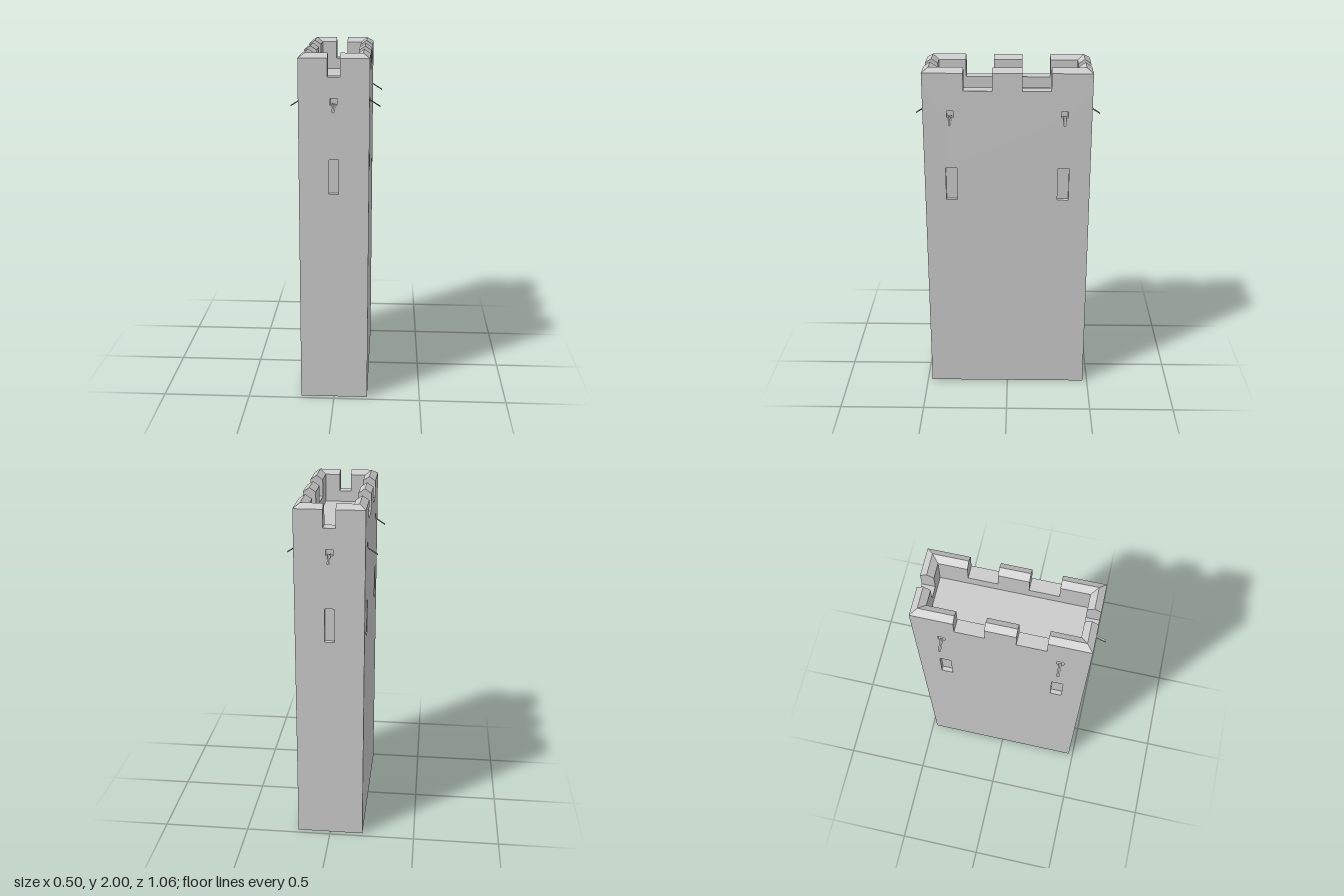
import * as THREE from 'three';

const HX = 0.193, HZ = 0.473;              // half width and half depth of the tower
const T = 0.073, SILL = 1.875, EAVE = 1.975, TOP = 2, FLOOR = 1.81;
const mat = new THREE.MeshStandardMaterial({ color: 0xcccccc, side: THREE.DoubleSide, flatShading: true });

function part(name, geometry, parent) {
  const mesh = new THREE.Mesh(geometry, mat);
  mesh.name = name;
  parent.add(mesh);
  return mesh;
}

// Outer wall sheet with rectangular openings [u, y, w, h]
function wallSheet(half, openings) {
  const rect = (s, x0, y0, x1, y1) => {
    s.moveTo(x0, y0); s.lineTo(x1, y0); s.lineTo(x1, y1); s.lineTo(x0, y1); s.closePath();
    return s;
  };
  const shape = rect(new THREE.Shape(), -half, 0, half, SILL);
  for (const [u, y, w, h] of openings) {
    shape.holes.push(rect(new THREE.Path(), u - w / 2, y - h / 2, u + w / 2, y + h / 2));
  }
  return new THREE.ShapeGeometry(shape);
}

// Length of parapet swept along u; ends lying on a tower corner are mitred
function parapetPiece(a, b, half, merlon) {
  const profile = merlon
    ? [[0, SILL], [0, EAVE], [T / 2, TOP], [T, EAVE], [T, SILL], [T, FLOOR]]
    : [[0, SILL], [T, SILL], [T, FLOOR]];
  const at = (u, [t, y]) => {
    const mitre = Math.abs(u) === half ? Math.sign(u) * t : 0;
    return [u - mitre, y, -t];
  };
  const pos = [];
  const tri = (...pts) => pts.forEach(p => pos.push(...p));
  for (let i = 0; i < profile.length - 1; i++) {
    const p = profile[i], q = profile[i + 1];
    tri(at(a, p), at(b, p), at(b, q));
    tri(at(a, p), at(b, q), at(a, q));
  }
  if (merlon) {
    for (let i = 1; i < 4; i++) {
      const [o, p, q] = [profile[0], profile[i], profile[i + 1]];
      if (a !== -half) tri(at(a, o), at(a, p), at(a, q));
      if (b !== half) tri(at(b, o), at(b, q), at(b, p));
    }
  }
  const geo = new THREE.BufferGeometry();
  geo.setAttribute('position', new THREE.Float32BufferAttribute(pos, 3));
  geo.computeVertexNormals();
  return geo;
}

// Box without its outer face, sunk into the wall
function recess(u, y, w, h, depth) {
  const geo = new THREE.BoxGeometry(w, h, depth);
  geo.setIndex([...geo.index.array].filter((_, i) => i < 24 || i >= 30));
  geo.clearGroups();
  // turn the faces inward
  const idx = geo.index.array;
  for (let i = 0; i < idx.length; i += 3) [idx[i], idx[i + 1]] = [idx[i + 1], idx[i]];
  const n = geo.attributes.normal;
  for (let i = 0; i < n.count; i++) n.setXYZ(i, -n.getX(i), -n.getY(i), -n.getZ(i));
  return geo.translate(u, y, -depth / 2);
}

// Thin V-shaped gutter sloping down and away from the wall
function spout(u) {
  const w = 0.008, d = 0.007, pos = [];
  const ring = (y, z) => [[u - w, y + d, z], [u, y, z], [u + w, y + d, z]];
  const A = ring(1.729, -0.004), B = ring(1.69, 0.057);
  for (let i = 0; i < 2; i++) {
    for (const p of [A[i], B[i], B[i + 1], A[i], B[i + 1], A[i + 1]]) pos.push(...p);
  }
  const geo = new THREE.BufferGeometry();
  geo.setAttribute('position', new THREE.Float32BufferAttribute(pos, 3));
  geo.computeVertexNormals();
  return geo;
}

function buildWall(name, half, cuts, columns, windowWidth) {
  const wall = new THREE.Group();
  wall.name = name;
  const windows = columns.map(u => [u, 1.327, windowWidth, 0.195]);
  const drains = columns.map(u => [u, 1.742, 0.038, 0.036]);
  part('wallFace', wallSheet(half, [...windows, ...drains]), wall);
  for (const o of windows) part('windowRecess', recess(...o, 0.025), wall);
  for (const o of drains) part('drainHole', recess(...o, 0.025), wall);
  for (const u of columns) part('drainSpout', spout(u), wall);

  // alternate merlons and crenel gaps along the top
  const stops = [-half, ...cuts, half];
  for (let i = 0; i < stops.length - 1; i++) {
    const merlon = i % 2 === 0;
    part(merlon ? 'merlon' : 'crenelSill', parapetPiece(stops[i], stops[i + 1], half, merlon), wall);
  }
  return wall;
}

export function createModel() {
  const tower = new THREE.Group();
  tower.name = 'tower';
  const names = ['frontWall', 'leftWall', 'backWall', 'rightWall'];
  names.forEach((name, k) => {
    const side = k % 2 === 1;
    const wall = side
      ? buildWall(name, HZ, [-0.244, -0.083, 0.083, 0.244], [-0.32, 0.32], 0.064)
      : buildWall(name, HX, [-0.034, 0.034], [0], 0.054);
    // push each wall outward, then turn it to its side
    wall.rotation.y = k * Math.PI / 2;
    wall.position.set(0, 0, side ? HX : HZ).applyAxisAngle(new THREE.Vector3(0, 1, 0), wall.rotation.y);
    tower.add(wall);
  });

  // Roof deck inside the parapet; the shell is open underneath
  const deck = new THREE.PlaneGeometry(2 * (HX - T), 2 * (HZ - T)).rotateX(-Math.PI / 2);
  part('roofDeck', deck, tower).position.y = FLOOR;
  return tower;
}
